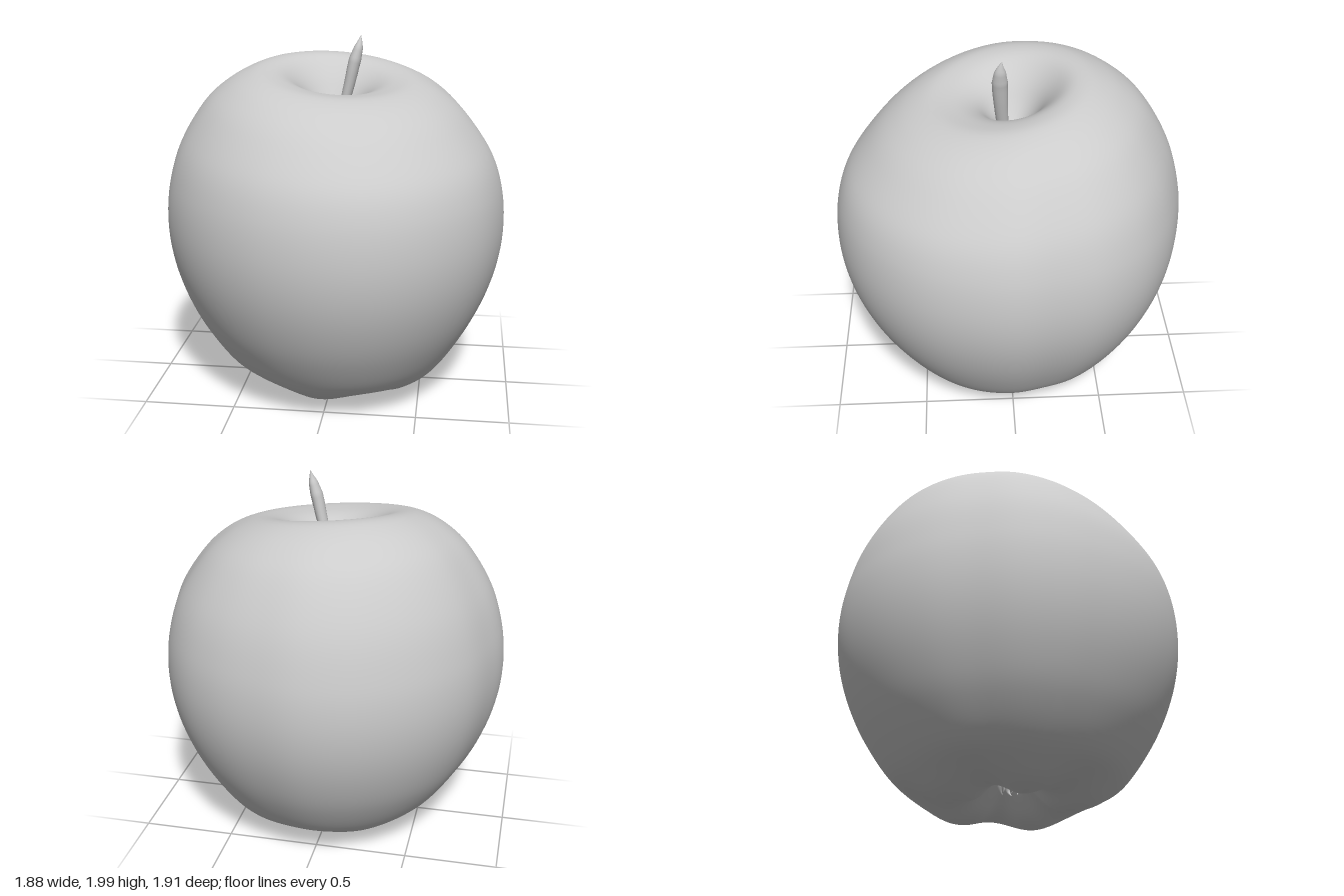
import * as THREE from 'three';
import { mergeVertices } from 'three/addons/utils/BufferGeometryUtils.js';

const { smoothstep, lerp } = THREE.MathUtils;
const V = (x, y, z) => new THREE.Vector3(x, y, z);

// Equator radius every 15 degrees, starting at the front and turning to +x
const GIRTH = [0.95, 0.96, 0.96, 0.955, 0.95, 0.942, 0.94, 0.922, 0.943, 0.95, 0.945, 0.943,
  0.957, 0.953, 0.942, 0.935, 0.928, 0.92, 0.94, 0.93, 0.913, 0.908, 0.915, 0.932];

// Smooth periodic lookup of the equator radius
function girth(angle) {
  const n = GIRTH.length;
  const t = ((angle / (2 * Math.PI)) * n + n) % n;
  const i = Math.floor(t), f = t - i;
  const [a, b, c, d] = [-1, 0, 1, 2].map((k) => GIRTH[(i + k + n) % n]);
  return b + 0.5 * f * (c - a + f * (2 * a - 5 * b + 4 * c - d + f * (3 * (b - c) + d - a)));
}

// Drop the attributes that split the seam, then smooth across it
function weld(geometry) {
  geometry.deleteAttribute('uv');
  geometry.deleteAttribute('normal');
  const welded = mergeVertices(geometry, 1e-5);
  welded.computeVertexNormals();
  return welded;
}

function appleBody() {
  // Half section from the blossom hollow, round the side, into the stem hollow
  const section = new THREE.SplineCurve([
    [0, 0.24], [0.06, 0.22], [0.13, 0.14], [0.21, 0.07], [0.3, 0.046], [0.4, 0.058], [0.51, 0.105],
    [0.64, 0.2], [0.78, 0.4], [0.875, 0.6], [0.932, 0.8], [0.95, 1], [0.928, 1.2], [0.86, 1.4],
    [0.725, 1.6], [0.59, 1.715], [0.46, 1.775], [0.37, 1.785], [0.28, 1.765], [0.19, 1.7],
    [0.11, 1.6], [0.05, 1.53], [0, 1.51],
  ].map(([r, y]) => new THREE.Vector2(r, y)));
  const points = section.getSpacedPoints(110);
  points[0].x = points[110].x = 0;
  const geometry = new THREE.LatheGeometry(points, 144);
  const pos = geometry.attributes.position;
  for (let i = 0; i < pos.count; i++) {
    let x = pos.getX(i), y = pos.getY(i), z = pos.getZ(i);
    const r = Math.hypot(x, z);
    if (r > 1e-5) {
      // Uneven girth, fading out towards both hollows
      const k = lerp(1, girth(Math.atan2(x, z)) / 0.95, smoothstep(r, 0.2, 0.85));
      const dx = x / r, dz = z / r;
      const rim = smoothstep(r, 0.05, 0.36);
      // Shoulder raised at the back
      const top = smoothstep(y, 1.15, 1.65);
      y += top * rim * (-0.06 * dz - 0.032 * dx);
      // Five feet round the blossom hollow, the lowest one on +x
      const low = 1 - smoothstep(pos.getY(i), 0.05, 0.5);
      const lobe = Math.cos(5 * (Math.atan2(z, x) - 0.42));
      const foot = smoothstep(r, 0.03, 0.22) * (1 - smoothstep(r, 0.4, 0.7));
      y -= low * (foot * 0.024 * lobe + rim * 0.02 * dx);
      x *= k;
      z *= k;
      // Stem hollow sits slightly behind the middle
      z -= 0.02 * smoothstep(y, 1.4, 1.6) * (1 - smoothstep(r, 0.2, 0.5));
    }
    pos.setXYZ(i, x, y, z);
  }
  return weld(geometry);
}

// Closed tube whose radius follows a list of values along the path
function taperedTube(path, radii, segments, sides, widen = 1) {
  const curve = new THREE.CatmullRomCurve3(path);
  const geometry = new THREE.TubeGeometry(curve, segments, 1, sides);
  const pos = geometry.attributes.position;
  for (let j = 0; j <= segments; j++) {
    const t = (j / segments) * (radii.length - 1);
    const a = Math.min(Math.floor(t), radii.length - 2);
    const radius = lerp(radii[a], radii[a + 1], t - a);
    const c = curve.getPointAt(j / segments);
    for (let i = 0; i <= sides; i++) {
      const n = j * (sides + 1) + i;
      const p = V(0, 0, 0).fromBufferAttribute(pos, n).sub(c).multiplyScalar(radius);
      p.z *= widen;
      p.add(c);
      pos.setXYZ(n, p.x, p.y, p.z);
    }
  }
  return weld(geometry);
}

export function createModel() {
  const group = new THREE.Group();
  const material = new THREE.MeshStandardMaterial({ color: 0xcccccc, side: THREE.DoubleSide });
  const add = (name, geometry, parent = group) => {
    const mesh = new THREE.Mesh(geometry, material);
    mesh.name = name;
    parent.add(mesh);
    return mesh;
  };

  add('appleBody', appleBody());

  // Curved stem, thicker at its blunt end
  add('stem', taperedTube(
    [V(0.02, 1.48, 0.02), V(0.05, 1.6, 0.035), V(0.085, 1.74, 0.045), V(0.11, 1.85, 0.05),
      V(0.137, 1.95, 0.048), V(0.145, 1.998, 0.04)],
    [0.038, 0.028, 0.026, 0.028, 0.03, 0.032, 0.033, 0.024, 0.0005], 40, 16, 1.25));

  // Withered sepals in the blossom hollow
  const calyx = new THREE.Group();
  calyx.name = 'calyx';
  group.add(calyx);
  for (let i = 0; i < 5; i++) {
    const sepal = add('sepal', taperedTube(
      [V(0.015, 0.25, 0), V(0.045, 0.185, 0), V(0.05, 0.14, 0.01), V(0.025 + 0.012 * (i % 3), 0.11, 0.02)],
      [0.02, 0.022, 0.014, 0.001], 14, 8), calyx);
    sepal.rotation.y = (i * 2 * Math.PI) / 5 + 0.3;
  }
  return group;
}
